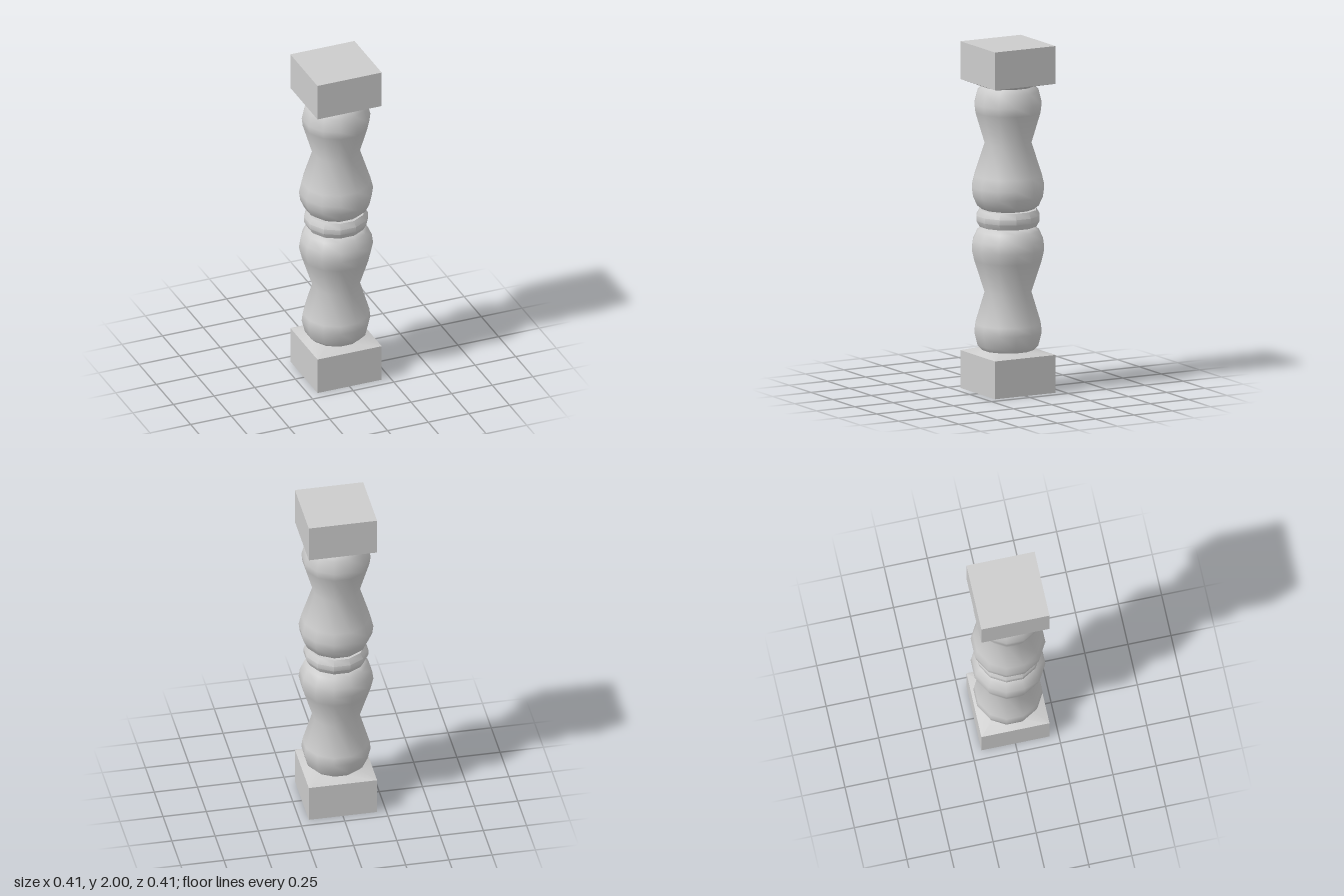
import * as THREE from 'three';
import { toCreasedNormals } from 'three/addons/utils/BufferGeometryUtils.js';

const SIDES = 12;
const HALF = 0.1975; // half width of the square blocks

// Turned part: profile of [distance to flat, y], with flats facing the axes
function turned(profile) {
  const k = 1 / Math.cos(Math.PI / SIDES);
  const points = profile.map(([r, y]) => new THREE.Vector2(r * k, y));
  return new THREE.LatheGeometry(points, SIDES, Math.PI / SIDES);
}

// Sloped shoulder from the square block to the round shaft
function shoulderGeometry(y0, y1, radius) {
  const g = turned([[HALF, y0], [radius, y1]]);
  const p = g.attributes.position;
  for (let i = 0; i < p.count; i++) {
    if (p.getY(i) > (y0 + y1) / 2) continue;
    const x = p.getX(i), z = p.getZ(i);
    const s = HALF / Math.max(Math.abs(x), Math.abs(z));
    p.setX(i, x * s);
    p.setZ(i, z * s);
  }
  return toCreasedNormals(g, 0.3);
}

export function createModel() {
  const model = new THREE.Group();
  model.name = 'baluster';
  const stone = new THREE.MeshStandardMaterial({ color: 0xcccccc });
  stone.name = 'grey stone';

  const add = (parent, name, geometry) => {
    const mesh = new THREE.Mesh(geometry, stone);
    mesh.name = name;
    parent.add(mesh);
    return mesh;
  };

  // One half: square block, shoulder and vase-shaped shaft
  const block = new THREE.BoxGeometry(HALF * 2, 0.218, HALF * 2).translate(0, 0.109, 0);
  const shoulder = shoulderGeometry(0.218, 0.24, 0.145);
  const vase = turned([
    [0.145, 0.239], [0.172, 0.268], [0.19, 0.342], [0.184, 0.39],
    [0.131, 0.57], [0.19, 0.755], [0.205, 0.82], [0.198, 0.872],
    [0.174, 0.925], [0.145, 0.948], [0.1, 0.952],
  ]);

  for (const name of ['lowerHalf', 'upperHalf']) {
    const half = new THREE.Group();
    half.name = name;
    add(half, 'block', block);
    add(half, 'shoulder', shoulder);
    add(half, 'vase', vase);
    if (name === 'upperHalf') {
      half.rotation.x = Math.PI;
      half.position.y = 2;
    }
    model.add(half);
  }

  // Bevelled ring between the two vases
  const ring = turned([
    [0.1, 0.952], [0.16, 0.952], [0.178, 0.985],
    [0.178, 1.015], [0.16, 1.048], [0.1, 1.048],
  ]);
  add(model, 'middleRing', toCreasedNormals(ring, 0.6));

  // Core hidden behind the grooves
  add(model, 'core', new THREE.CylinderGeometry(0.12, 0.12, 0.14, SIDES).translate(0, 1, 0));

  return model;
}
